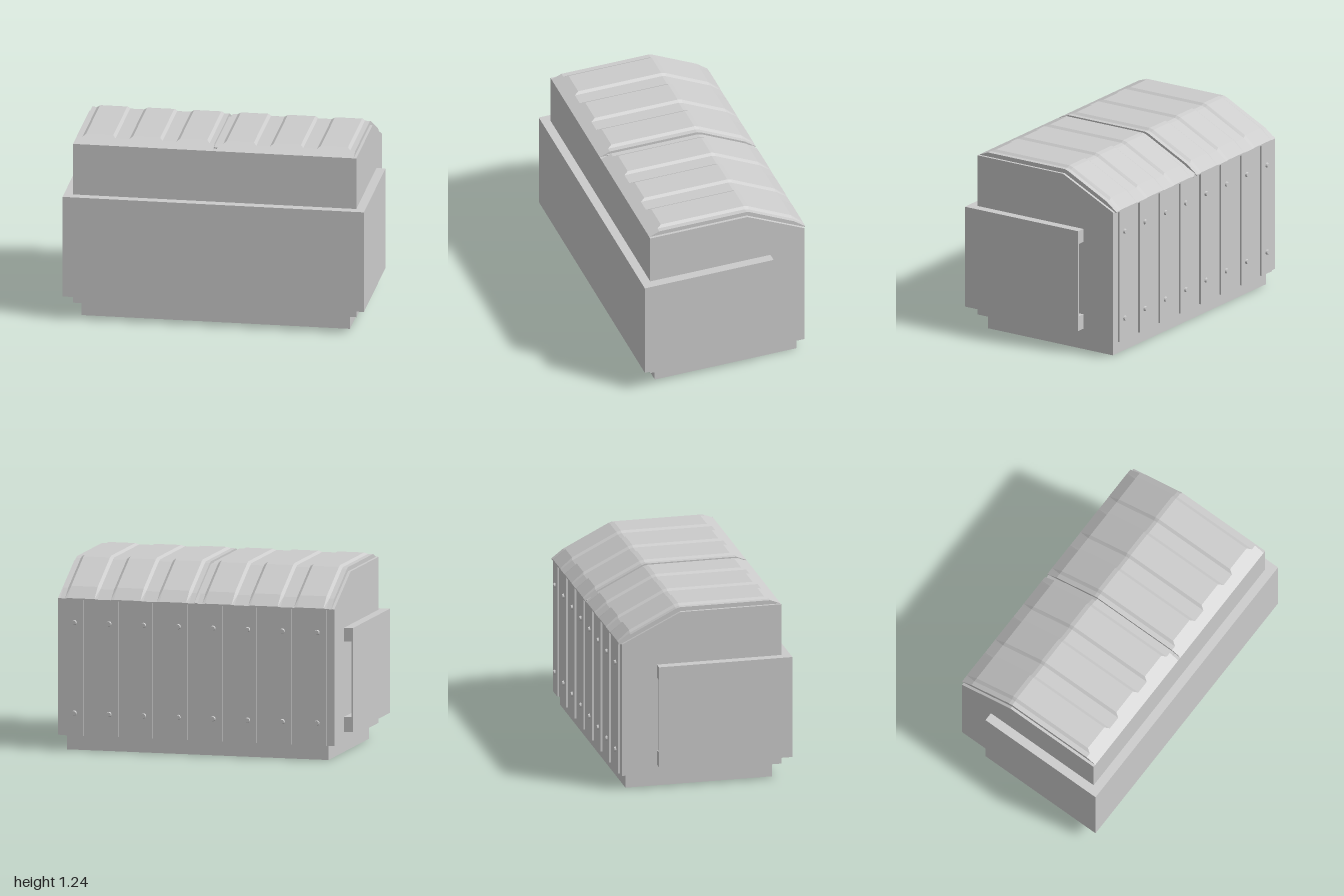
import * as THREE from 'three';

const material = new THREE.MeshStandardMaterial({ color: 0xcccccc, flatShading: true });

function add(parent, name, geometry, x = 0, y = 0, z = 0) {
  const mesh = new THREE.Mesh(geometry, material);
  mesh.name = name;
  mesh.position.set(x, y, z);
  parent.add(mesh);
  return mesh;
}

// Box given by its limits on each axis
function block(parent, name, [x0, x1], [y0, y1], [z0, z1]) {
  return add(parent, name, new THREE.BoxGeometry(x1 - x0, y1 - y0, z1 - z0),
    (x0 + x1) / 2, (y0 + y1) / 2, (z0 + z1) / 2);
}

// Side profile of [z, y] points extruded across x, centred on x = 0
function sideExtrude(points, width) {
  const shape = new THREE.Shape(points.map(([z, y]) => new THREE.Vector2(z, y)));
  const geometry = new THREE.ExtrudeGeometry(shape, { depth: width, bevelEnabled: false });
  return geometry.translate(0, 0, -width / 2).rotateY(-Math.PI / 2);
}

// Roof half: a ribbed cross-section swept from the front edge to the back eave.
// Each section point has an x and a level between the inner and outer paths.
function roofGeometry() {
  const inner = [[0.52, 1.2], [0.52, 1.2], [-0.16, 1.2], [-0.175, 1.193], [-0.5, 1.034], [-0.57, 1.0], [-0.57, 1.0], [-0.55, 1.0]];
  const outer = [[0.52, 1.2], [0.42, 1.24], [-0.16, 1.24], [-0.19, 1.232], [-0.49, 1.08], [-0.57, 1.01], [-0.57, 1.0], [-0.55, 1.0]];
  const half = 0.455, base = 0.7;
  const section = [[-half, 0], [-half, base]];
  for (const c of [-0.312, 0, 0.312]) {
    section.push([c - 0.11, base], [c - 0.09, 1], [c + 0.09, 1], [c + 0.11, base]);
  }
  section.push([half, base], [half, 0]);

  const point = (i, j) => {
    const [x, level] = section[i];
    return [x,
      THREE.MathUtils.lerp(inner[j][1], outer[j][1], level),
      THREE.MathUtils.lerp(inner[j][0], outer[j][0], level)];
  };
  const positions = [];
  for (let i = 0; i < section.length - 1; i++) {
    for (let j = 0; j < inner.length - 1; j++) {
      const a = point(i, j), b = point(i + 1, j), c = point(i + 1, j + 1), d = point(i, j + 1);
      positions.push(...a, ...b, ...c, ...a, ...c, ...d);
    }
  }
  const geometry = new THREE.BufferGeometry();
  geometry.setAttribute('position', new THREE.Float32BufferAttribute(positions, 3));
  geometry.computeVertexNormals();
  return geometry;
}

export function createModel() {
  const model = new THREE.Group();
  model.name = 'ribbedBox';

  // Plinth and main body
  block(model, 'plinth', [-0.89, 0.89], [0, 0.1], [-0.52, 0.47]);
  add(model, 'body', sideExtrude(
    [[0.52, 0.1], [0.52, 1.2], [-0.16, 1.2], [-0.557, 1.006], [-0.557, 0.1]], 1.88));

  // Band wrapped round the front and sides, each side slotted at its back edge
  const band = new THREE.Group();
  band.name = 'band';
  model.add(band);
  block(band, 'bandFront', [-1, 1], [0.16, 0.85], [0.52, 0.58]);
  const slotted = sideExtrude([[0.52, 0.16], [0.52, 0.85], [-0.32, 0.85], [-0.32, 0.76],
    [0.4, 0.76], [0.4, 0.26], [-0.32, 0.26], [-0.32, 0.16]], 0.05);
  for (const side of [-1, 1]) {
    add(band, 'bandSideCore', slotted, side * 0.965);
    add(band, 'bandSideSkin', new THREE.BoxGeometry(0.01, 0.69, 0.84), side * 0.995, 0.505, 0.1);
  }

  // Ribbed roof halves with a shallow joint between them
  const roof = roofGeometry();
  for (const side of [-1, 1]) add(model, 'roofHalf', roof, side * 0.467);
  add(model, 'roofJoint', sideExtrude(
    [[0.47, 1.19], [0.47, 1.21], [-0.16, 1.21], [-0.56, 1.012], [-0.56, 0.99], [-0.16, 1.18]], 0.026));

  // Raised back slats, each with two bolts
  const bolt = new THREE.CylinderGeometry(0.014, 0.018, 0.014, 12).rotateX(-Math.PI / 2);
  for (let i = 0; i < 8; i++) {
    const x = (i - 3.5) * 0.236;
    block(model, 'backSlat', [x - 0.06, x + 0.06], [0.1, 1.0], [-0.57, -0.55]);
    for (const y of [0.25, 0.85]) add(model, 'bolt', bolt, x, y, -0.575);
  }
  return model;
}
